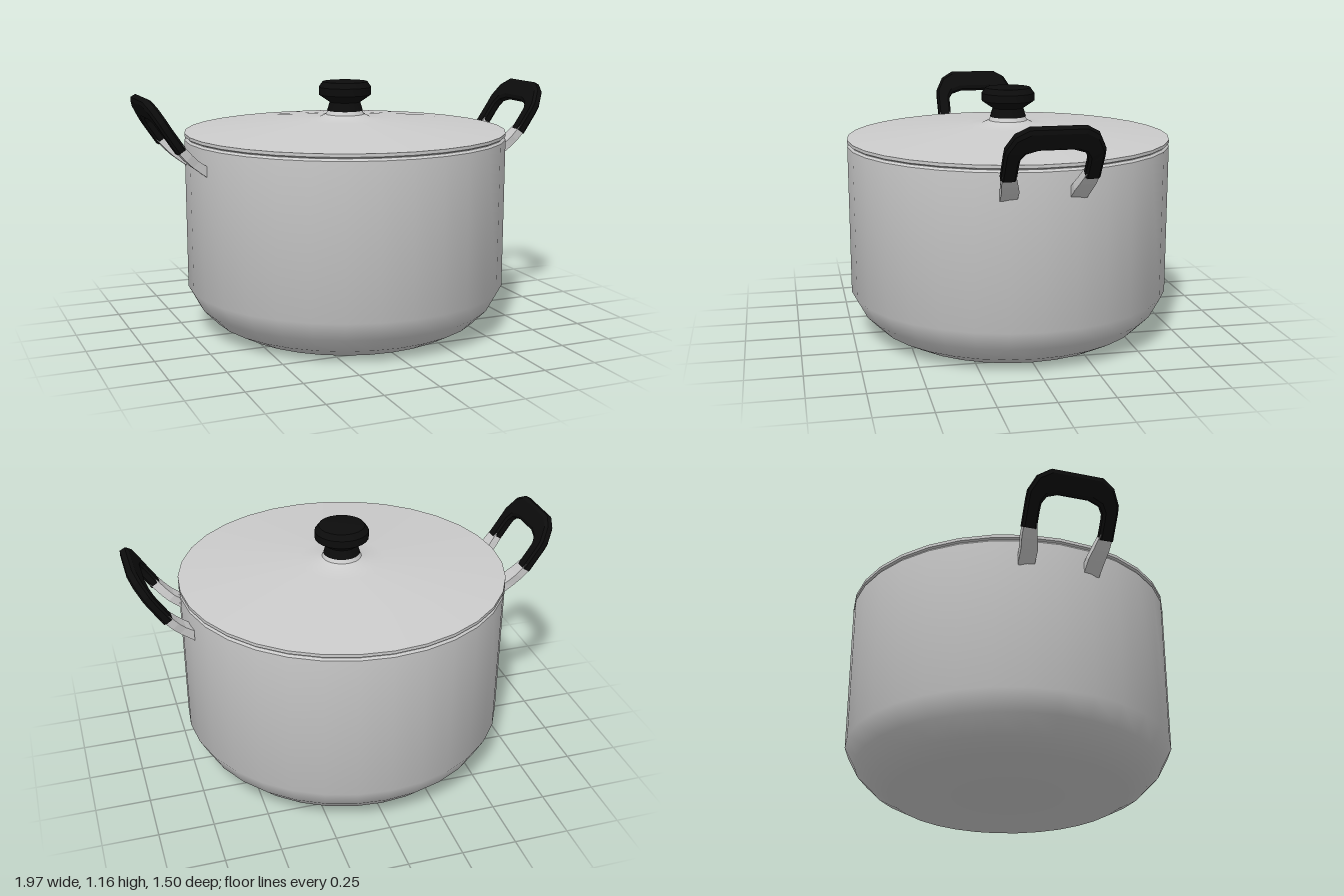
import * as THREE from 'three';
import { toCreasedNormals } from 'three/addons/utils/BufferGeometryUtils.js';

const steel = new THREE.MeshStandardMaterial({ color: 0xcccccc });
const black = new THREE.MeshStandardMaterial({ color: 0x0c0c0c });

// Turned part from [radius, height] pairs
function turned(name, profile, segments, material) {
  const points = profile.map(([r, y]) => new THREE.Vector2(r, y));
  const geometry = toCreasedNormals(new THREE.LatheGeometry(points, segments), 0.6);
  const mesh = new THREE.Mesh(geometry, material);
  mesh.name = name;
  return mesh;
}

// Side curve of the handle: [height, x, normal x, normal y]
const curve = [
  [0.805, 0.727, 0, 1.3],
  [0.84, 0.775, -0.7, 0.7],
  [0.9, 0.837, -0.82, 0.57],
  [1.0, 0.904, -0.85, 0.52],
  [1.118, 0.973, -0.87, 0.5],
];

function onCurve(y, v) {
  let i = 0;
  while (i < curve.length - 2 && y > curve[i + 1][0]) i++;
  const t = (y - curve[i][0]) / (curve[i + 1][0] - curve[i][0]);
  const [, x, nx, ny] = curve[i].map((c, k) => THREE.MathUtils.lerp(c, curve[i + 1][k], t));
  return [x + nx * v, y + ny * v];
}

// Band swept along stations [outer z, outer y, inner z, inner y] with a given section
function band(name, stations, section, half, material) {
  const rings = stations.map(([zo, yo, zi, yi]) => section.map(([u, v]) => {
    const t = (u + 1) / 2;
    const [x, y] = onCurve(THREE.MathUtils.lerp(yi, yo, t), v * half);
    return [x, y, THREE.MathUtils.lerp(zi, zo, t)];
  }));
  const n = section.length;
  const out = [];
  const tri = (a, b, c) => out.push(...a, ...b, ...c);
  for (let k = 0; k < rings.length - 1; k++) {
    const a = rings[k], b = rings[k + 1];
    for (let i = 0; i < n; i++) {
      const j = (i + 1) % n;
      tri(a[i], b[i], a[j]);
      tri(a[j], b[i], b[j]);
    }
  }
  const first = rings[0], last = rings[rings.length - 1];
  for (let i = 1; i < n - 1; i++) {
    tri(first[0], first[i], first[i + 1]);
    tri(last[0], last[i + 1], last[i]);
  }
  const geometry = new THREE.BufferGeometry();
  geometry.setAttribute('position', new THREE.Float32BufferAttribute(out, 3));
  geometry.computeVertexNormals();
  const mesh = new THREE.Mesh(geometry, material);
  mesh.name = name;
  return mesh;
}

const mirrored = (stations) => stations.map(([zo, yo, zi, yi]) => [-zo, yo, -zi, yi]).reverse();

function makeHandle(name) {
  const handle = new THREE.Group();
  handle.name = name;
  const square = [[1, 1], [-1, 1], [-1, -1], [1, -1]];
  const chamfered = [[1, 0.55], [0.7, 1], [-0.7, 1], [-1, 0.55], [-1, -0.55], [-0.7, -1], [0.7, -1], [1, -0.55]];

  // Steel brackets reaching from the wall into the grip
  const leg = [
    [0.185, 0.805, 0.112, 0.805],
    [0.19, 0.84, 0.115, 0.84],
    [0.197, 0.87, 0.126, 0.87],
    [0.2, 0.92, 0.144, 0.92],
  ];
  handle.add(band('handleBracketFront', leg, square, 0.019, steel));
  handle.add(band('handleBracketBack', mirrored(leg), square, 0.019, steel));

  // Black arched grip
  const side = [
    [0.205, 0.9, 0.14, 0.9],
    [0.205, 1.0, 0.14, 0.965],
    [0.203, 1.03, 0.138, 0.99],
    [0.17, 1.088, 0.12, 1.015],
    [0.115, 1.118, 0.07, 1.03],
  ];
  handle.add(band('handleGrip', [...side, ...mirrored(side)], chamfered, 0.023, black));
  return handle;
}

export function createModel() {
  const model = new THREE.Group();
  model.name = 'cookingPot';

  // Pot body with bevelled foot and a hollow inside
  model.add(turned('potBody', [
    [0, 0], [0.54, 0], [0.633, 0.05], [0.702, 0.12], [0.75, 0.21], [0.75, 0.9], [0.742, 0.91],
    [0.72, 0.91], [0.72, 0.22], [0.53, 0.03], [0, 0.03],
  ], 32, steel));

  // Shallow conical lid with a flared neck under the knob
  model.add(turned('lid', [
    [0, 0.91], [0.738, 0.91], [0.75, 0.917], [0.75, 0.931], [0.2, 0.982], [0.12, 0.99],
    [0.09, 1.003], [0.08, 1.022], [0, 1.022],
  ], 32, steel));

  // Lid knob
  model.add(turned('lidKnob', [
    [0, 1.02], [0.084, 1.02], [0.072, 1.06], [0.123, 1.095], [0.123, 1.13], [0.105, 1.155], [0, 1.157],
  ], 24, black));

  // Handles on both sides
  const left = makeHandle('leftHandle');
  const right = makeHandle('rightHandle');
  right.rotation.y = Math.PI;
  model.add(left, right);
  return model;
}
